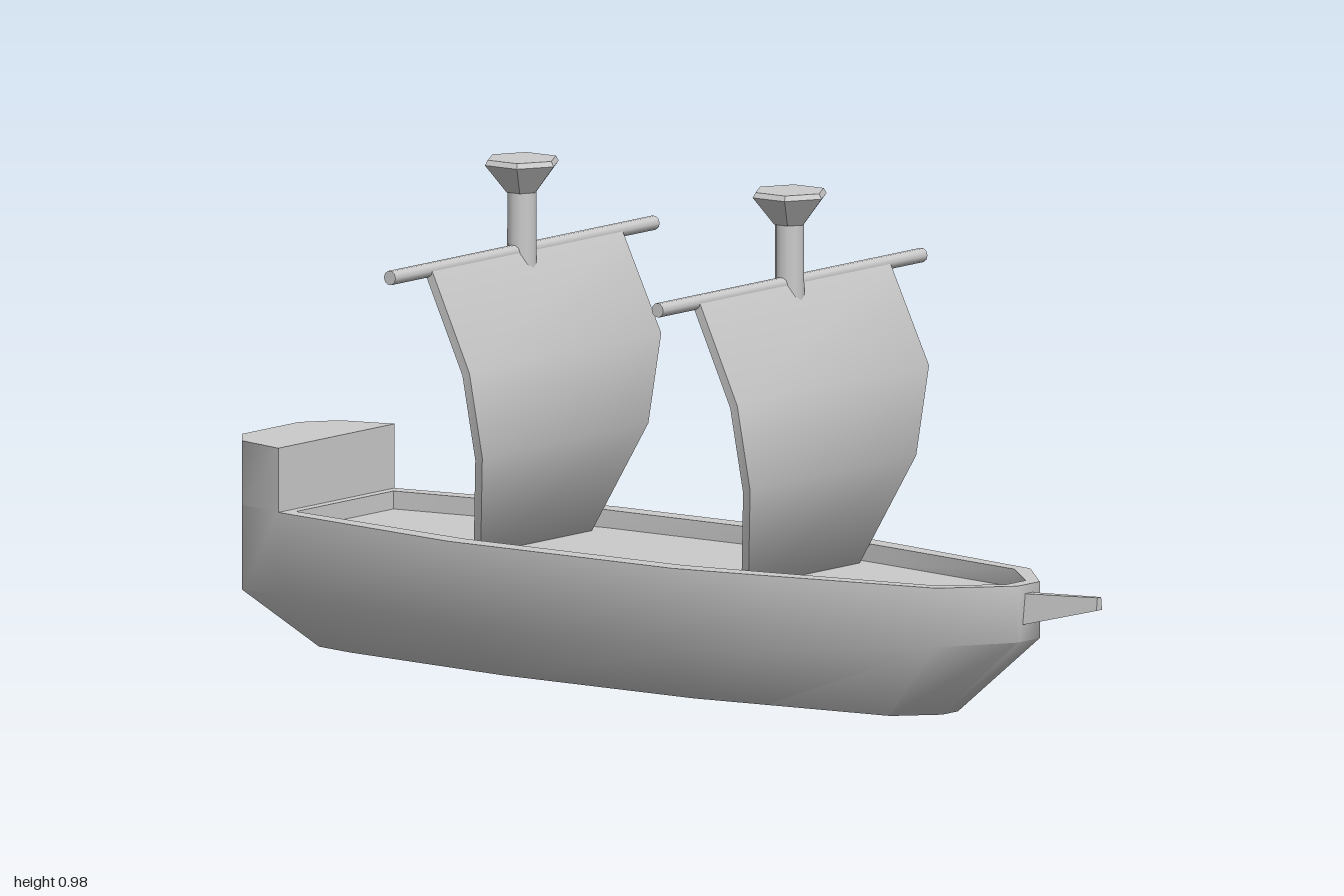
import * as THREE from 'three';
import { toCreasedNormals } from 'three/addons/utils/BufferGeometryUtils.js';

const material = new THREE.MeshStandardMaterial({ color: 0xcccccc });

function addMesh(parent, name, geometry, x = 0, y = 0, z = 0) {
  const mesh = new THREE.Mesh(geometry, material);
  mesh.name = name;
  mesh.position.set(x, y, z);
  parent.add(mesh);
  return mesh;
}

// Skin a stack of convex rings (counter-clockwise seen from the last ring) and cap both ends
function loft(rings, crease = 0.95) {
  const n = rings[0].length;
  const index = [];
  for (let i = 0; i < rings.length - 1; i++) {
    for (let j = 0; j < n; j++) {
      const k = (j + 1) % n;
      const a = i * n + j, b = i * n + k, c = b + n, d = a + n;
      index.push(a, b, c, a, c, d);
    }
  }
  const last = (rings.length - 1) * n;
  for (let j = 1; j < n - 1; j++) {
    index.push(0, j + 1, j, last, last + j, last + j + 1);
  }
  const geometry = new THREE.BufferGeometry();
  geometry.setAttribute('position', new THREE.Float32BufferAttribute(rings.flat(2), 3));
  geometry.setIndex(index);
  return toCreasedNormals(geometry, crease);
}

// Complete a half ring, listed from bow to stern on +x, with its mirror image
const mirrored = (half) => [...half, ...half.map(([x, y, z]) => [-x, y, z]).reverse()];

// Half outlines [x, z] from bow to stern
const RIM = [[0.035, 0.83], [0.15, 0.72], [0.228, 0.36], [0.265, 0.17], [0.265, -0.37],
  [0.185, -0.84], [0.155, -0.95], [0.09, -1]];
const FLOOR = [[0.025, 0.64], [0.098, 0.57], [0.135, 0.3], [0.157, 0.14], [0.157, -0.32],
  [0.115, -0.72], [0.095, -0.81], [0.055, -0.84]];
const WELL = [[0.03, 0.8], [0.125, 0.7], [0.19, 0.35], [0.222, 0.16], [0.222, -0.36],
  [0.155, -0.82], [0.1, -0.82], [0.05, -0.82]];
const CHINE_Y = [0.16, 0.155, 0.12, 0.11, 0.11, 0.11, 0.105, 0.1];
const RIM_Y = 0.27, DECK_Y = 0.235;

const level = (outline, y) => mirrored(outline.map(([x, z]) => [x, y, z]));

function hullGeometry() {
  return loft([
    level(FLOOR, 0),
    mirrored(RIM.map(([x, z], i) => [x, CHINE_Y[i], z])),
    level(RIM, RIM_Y),
    level(WELL, RIM_Y),
    level(WELL, DECK_Y),
  ]);
}

// Raised block that follows the stern end of the rim
function sternGeometry() {
  const outline = RIM.slice(5);
  return loft([level(outline, RIM_Y - 0.01), level(outline, 0.395)]);
}

function bowspritGeometry() {
  const section = (z, bottom, top, wide, narrow) =>
    [[-wide, bottom, z], [wide, bottom, z], [narrow, top, z], [-narrow, top, z]];
  return loft([section(0.78, 0.18, 0.25, 0.022, 0.013), section(1, 0.235, 0.26, 0.009, 0.006)], 0.5);
}

// Billowed sail: [height, half width, front z]
function sailGeometry() {
  const rows = [[0.235, 0.177, 0.035], [0.44, 0.264, 0.105], [0.61, 0.305, 0.105], [0.803, 0.303, 0.012]];
  return loft(rows.map(([y, w, z]) =>
    [[-w, y, z], [w, y, z], [w, y - 0.006, z - 0.017], [-w, y - 0.006, z - 0.017]]), 0.95);
}

function rig(name, z) {
  const group = new THREE.Group();
  group.name = name;
  group.position.z = z;
  addMesh(group, 'mast', new THREE.CylinderGeometry(0.028, 0.03, 0.71, 12), 0, 0.575, 0);
  const yard = addMesh(group, 'yard', new THREE.CylinderGeometry(0.014, 0.014, 0.84, 10), 0, 0.8, 0);
  yard.rotation.z = Math.PI / 2;
  addMesh(group, 'sail', sailGeometry());
  // Hexagonal lookout flaring out at the masthead
  const profile = [[0, 0.915], [0.032, 0.915], [0.077, 0.97], [0.071, 0.98], [0, 0.98]]
    .map(([r, y]) => new THREE.Vector2(r, y));
  addMesh(group, 'lookout', toCreasedNormals(new THREE.LatheGeometry(profile, 6), 0.3));
  return group;
}

export function createModel() {
  const ship = new THREE.Group();
  ship.name = 'sailingShip';
  addMesh(ship, 'hull', hullGeometry());
  addMesh(ship, 'sternCastle', sternGeometry());
  addMesh(ship, 'bowsprit', bowspritGeometry());
  ship.add(rig('foreRig', 0.253), rig('aftRig', -0.393));
  return ship;
}
